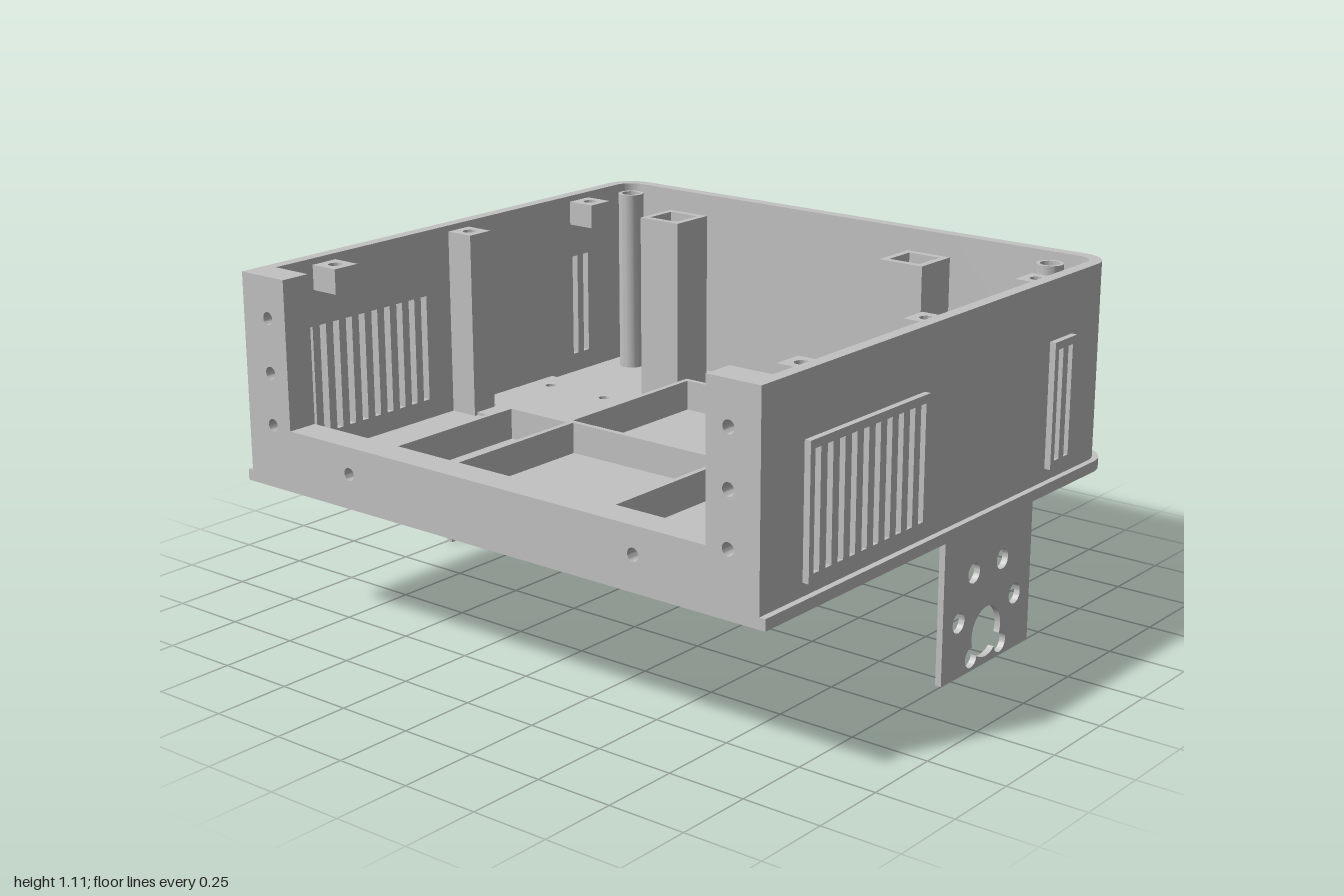
import * as THREE from 'three';
import { toCreasedNormals } from 'three/addons/utils/BufferGeometryUtils.js';

export function createModel() {
  const model = new THREE.Group();
  model.name = 'enclosure';
  const grey = new THREE.MeshStandardMaterial({ color: 0xc2c2c2 });
  grey.name = 'light grey plastic';

  const FLOOR = 0.48, BOTTOM = 0.445, TOP = 1.11;
  const q = Math.PI / 2;

  // ---- helpers ----
  const add = (name, geometry, parent = model) => {
    const mesh = new THREE.Mesh(geometry, grey);
    mesh.name = name;
    parent.add(mesh);
    return mesh;
  };
  const polygon = (pts) => new THREE.Shape(pts.map(([x, y]) => new THREE.Vector2(x, y)));
  const rect = (x0, x1, y0, y1) => polygon([[x0, y0], [x1, y0], [x1, y1], [x0, y1]]);
  const circle = (x, y, r) => new THREE.Shape().absarc(x, y, r, 0, Math.PI * 2, false);
  const extrude = (shape, depth) => toCreasedNormals(
    new THREE.ExtrudeGeometry(shape, { depth, bevelEnabled: false, curveSegments: 16 }), 0.5);
  // floor-plan shape (x, -z) raised from y0 to y1
  const plan = (shape, y0, y1) => extrude(shape, y1 - y0).rotateX(-q).translate(0, y0, 0);
  const box = (x0, x1, y0, y1, z0, z1) => new THREE.BoxGeometry(x1 - x0, y1 - y0, z1 - z0)
    .translate((x0 + x1) / 2, (y0 + y1) / 2, (z0 + z1) / 2);
  const withHoles = (shape, holes) => { shape.holes.push(...holes); return shape; };

  // ---- base plate with screw holes ----
  const mountHoles = (sides) => sides.flatMap((s) =>
    [0.04, 0.34].flatMap((x) => [0.625, 0.865].map((z) => circle(x, s * z, 0.018))));
  const base = new THREE.Shape();
  base.absarc(0.79, -0.88, 0.12, -q, 0, false);
  base.absarc(0.79, 0.88, 0.12, 0, q, false);
  base.lineTo(-0.91, 1);
  base.lineTo(-0.91, -1);
  add('basePlate', plan(withHoles(base, mountHoles([-1, 1])), BOTTOM, FLOOR));

  // ---- rounded end wall ----
  const end = new THREE.Shape();
  end.absarc(0.79, 0.88, 0.1, q, 0, true);
  end.absarc(0.79, -0.88, 0.1, 0, -q, true);
  end.absarc(0.79, -0.88, 0.06, -q, 0, false);
  end.absarc(0.79, 0.88, 0.06, 0, q, false);
  add('endWall', plan(end, FLOOR, TOP));

  // ---- open end: two pillars joined by a low sill, drilled through ----
  const open = polygon([[-0.94, FLOOR], [0.94, FLOOR], [0.94, TOP], [0.8, TOP],
    [0.8, 0.64], [-0.8, 0.64], [-0.8, TOP], [-0.94, TOP]]);
  for (const s of [-1, 1]) {
    for (const y of [0.645, 0.81, 0.98]) open.holes.push(circle(s * 0.875, y, 0.02));
    open.holes.push(circle(s * 0.55, 0.555, 0.02));
  }
  add('openEndFrame', extrude(open, 0.1).rotateY(q).translate(-0.91, 0, 0));

  // ---- vent slots ----
  const slot = (x) => rect(x - 0.013, x + 0.013, 0.545, 0.895);
  const wideSlots = () => Array.from({ length: 10 }, (_, i) => slot(-0.686 + i * 0.0555));
  const narrowSlots = () => [slot(0.559), slot(0.614)];

  // bracket opening: a large circle merged with two small ones below it
  const bracketOpening = () => {
    const R = 0.08, r = 0.032, d = 0.1;
    const beta = Math.acos((R * R - r * r + d * d) / (2 * d * R));
    const gamma = Math.acos((r * r - R * R + d * d) / (2 * d * r));
    const right = Math.atan2(-0.06, 0.08), left = -Math.PI - right;
    const shape = new THREE.Shape();
    shape.absarc(0.19, 0.1, R, right + beta, left - beta + 4 * q, false);
    shape.absarc(0.11, 0.04, r, left + 2 * q + gamma, left + 6 * q - gamma, false);
    shape.absarc(0.19, 0.1, R, left + beta, right - beta, false);
    shape.absarc(0.27, 0.04, r, right + 2 * q + gamma, right + 6 * q - gamma, false);
    return shape;
  };

  // ---- parts repeated on the front and back ----
  for (const s of [1, -1]) {
    const side = new THREE.Group();
    side.name = s > 0 ? 'frontSide' : 'backSide';
    model.add(side);
    const layer = (name, shape, zIn, zOut) =>
      add(name, extrude(shape, zOut - zIn).translate(0, 0, s > 0 ? zIn : -zOut), side);

    layer('sideWall', withHoles(rect(-0.91, 0.79, FLOOR, TOP), [...wideSlots(), ...narrowSlots()]), 0.94, 0.98);
    layer('wideVentFrame', withHoles(rect(-0.72, -0.153, 0.52, 0.92), wideSlots()), 0.98, 1);
    layer('narrowVentFrame', withHoles(rect(0.525, 0.65, 0.52, 0.92), narrowSlots()), 0.98, 1);

    // hanging bracket and its pad on the floor
    const small = [[0.111, 0.308], [0.268, 0.308], [0.035, 0.174], [0.345, 0.174]];
    layer('bracket', withHoles(rect(-0.05, 0.43, 0, BOTTOM),
      [...small.map(([x, y]) => circle(x, y, 0.032)), bracketOpening()]), 0.98, 1);
    const pad = s > 0 ? rect(-0.05, 0.43, -0.94, -0.52) : rect(-0.05, 0.43, 0.525, 0.94);
    add('bracketPad', plan(withHoles(pad, mountHoles([-s])), FLOOR, FLOOR + 0.01), side);

    // lid screw blocks; the middle one is a column down to the floor
    for (const [x, bottom] of [[-0.613, 1.01], [-0.015, FLOOR], [0.585, 1.01]]) {
      const [z0, z1] = s > 0 ? [0.842, 0.94] : [-0.94, -0.842];
      const top = 1.09, deep = 0.06;
      add('screwBlock', box(x - 0.048, x + 0.048, bottom, top - deep, z0, z1), side);
      add('screwBlockTop', plan(withHoles(rect(x - 0.048, x + 0.048, -z1, -z0),
        [circle(x, -s * 0.89, 0.022)]), top - deep, top), side);
    }

    // round corner post and square hollow tower
    add('cornerPost', plan(withHoles(circle(0.745, -s * 0.84, 0.043),
      [circle(0.745, -s * 0.84, 0.031)]), FLOOR, 1.1), side);
    const c = -s * 0.48;
    add('tower', plan(withHoles(rect(0.46, 0.616, c - 0.079, c + 0.079),
      [rect(0.483, 0.593, c - 0.056, c + 0.056)]), FLOOR, 1.1), side);
  }

  // ---- component trays: thin rims on the floor ----
  const RIM = 0.018, RIM_TOP = 0.58;
  const tray = (name, x0, x1, z0, z1) => add(name, plan(withHoles(rect(x0, x1, -z1, -z0),
    [rect(x0 + RIM, x1 - RIM, -z1 + RIM, -z0 - RIM)]), FLOOR, RIM_TOP));
  tray('backTray', -0.73, -0.152, -0.595, -0.322);
  tray('frontTray', -0.7, -0.213, 0.275, 0.748);

  // centre tray, with two cable slits in its front rim
  const x0 = -0.16, x1 = 0.453, back = 0.357, front = -0.35 + RIM;
  const rim = polygon([[x0, front], [x0, back], [x1, back], [x1, front],
    [x1 - RIM, front], [x1 - RIM, back - RIM], [x0 + RIM, back - RIM], [x0 + RIM, front]]);
  add('centreTray', plan(rim, FLOOR, RIM_TOP));
  const slits = [[-0.04, 0.09], [0.19, 0.32]].map(([a, b]) => rect(a, b, 0.495, 0.53));
  add('centreTrayFrontRim', extrude(withHoles(rect(x0, x1, FLOOR, RIM_TOP), slits), RIM)
    .translate(0, 0, -front));

  return model;
}
